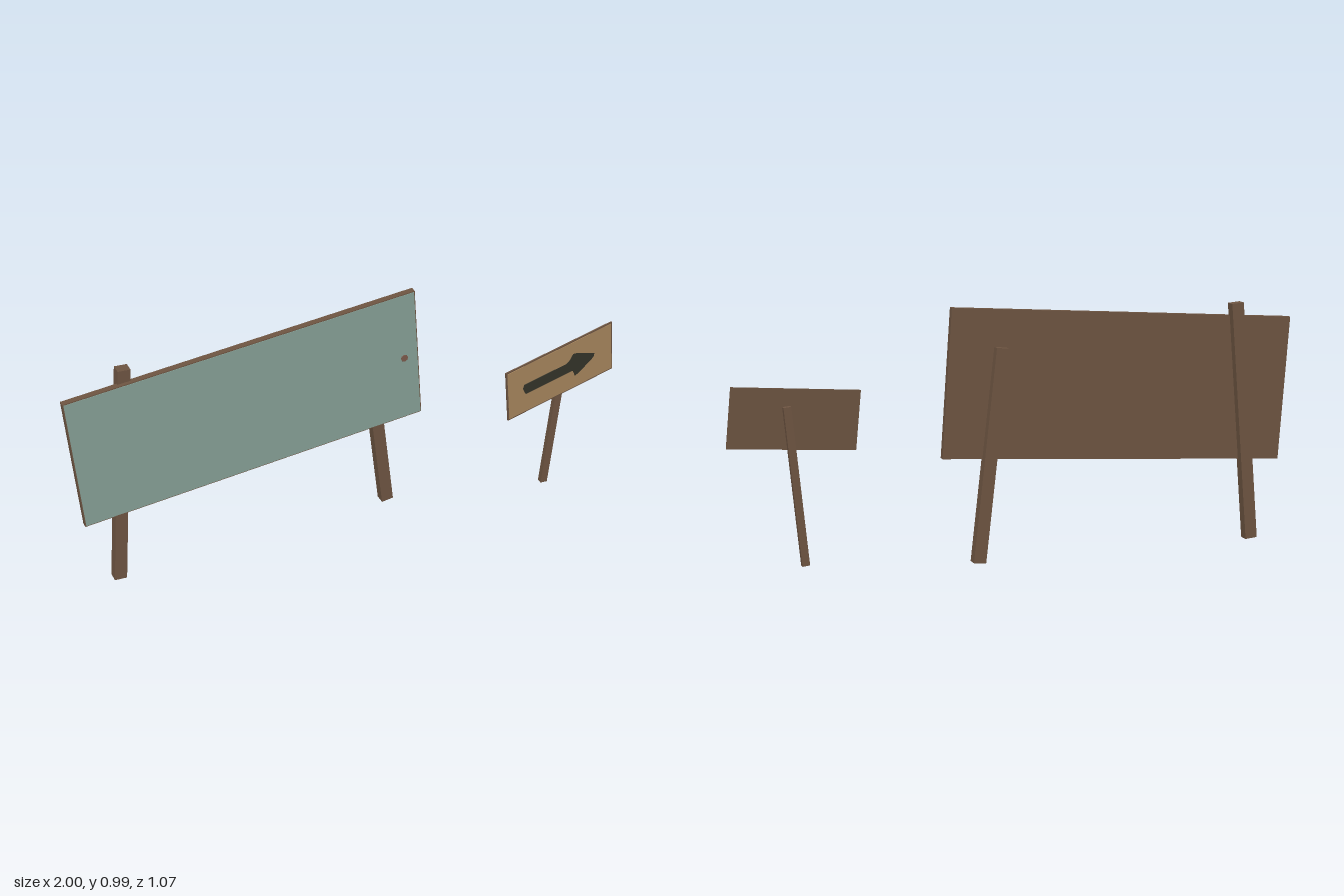
import * as THREE from 'three';

const mat = (name, color) => Object.assign(new THREE.MeshStandardMaterial({ color }), { name });

export function createModel() {
  const wood = mat('brown wood', 0x6e5542);
  const teal = mat('grey green paint', 0x87a197);
  const tan = mat('tan paint', 0xaa885f);
  const dark = mat('dark paint', 0x34342a);
  const rust = mat('knot brown', 0x7c5a4b);

  const model = new THREE.Group();
  model.name = 'signs';

  const add = (parent, name, geometry, material, x = 0, y = 0, z = 0) => {
    const mesh = new THREE.Mesh(geometry, material);
    mesh.name = name;
    mesh.position.set(x, y, z);
    parent.add(mesh);
    return mesh;
  };
  const group = (parent, name, x, y, z, yaw, roll = 0) => {
    const g = new THREE.Group();
    g.name = name;
    g.position.set(x, y, z);
    g.rotation.set(0, yaw, roll, 'YXZ');
    parent.add(g);
    return g;
  };
  const deg = THREE.MathUtils.degToRad;

  // Leaning post from its foot to its top, in the plane of its parent
  const post = (parent, name, footX, topX, height, z, width, depth) => {
    const lean = Math.atan2(topX - footX, height);
    const length = Math.hypot(topX - footX, height);
    const mesh = add(parent, name, new THREE.BoxGeometry(width, length, depth), wood,
      (footX + topX) / 2, height / 2 + 0.002, z);
    mesh.rotation.z = -lean;
  };

  // Board with a thin painted face that leaves a narrow wooden rim
  const board = (parent, name, w, h, t, rim, paint) => {
    add(parent, name, new THREE.BoxGeometry(w, h, t), wood);
    add(parent, name + 'Face', new THREE.BoxGeometry(w - rim * 2, h - rim * 2, 0.002), paint, 0, 0, t / 2 + 0.001);
  };

  // Large billboard on two posts
  const yaw = deg(32);
  const billboard = group(model, 'billboard', -0.375, 0, 0.139, yaw);
  const panel = group(billboard, 'billboardPanel', 0, 0.6525, 0, 0, deg(4.06));
  board(panel, 'billboardBoard', 1.422, 0.577, 0.024, 0.004, teal);
  const knot = add(panel, 'knot', new THREE.CylinderGeometry(0.015, 0.015, 0.004, 8), rust, 0.65, -0.004, 0.015);
  knot.rotation.x = Math.PI / 2;
  post(billboard, 'rightPost', -0.564, -0.483, 0.957, -0.022, 0.05, 0.04);
  post(billboard, 'leftPost', 0.5915, 0.496, 0.83, -0.022, 0.05, 0.04);

  // Small arrow sign
  const sign = group(model, 'arrowSign', 0.788, 0.567, -0.361, deg(39.9), deg(5.8));
  board(sign, 'arrowBoard', 0.527, 0.234, 0.006, 0.006, tan);

  // Hand-painted arrow
  const arrow = new THREE.Shape([
    [-0.187, 0.005], [-0.18, 0.022], [0.03, 0.022], [0.045, 0.03], [0.065, 0.055], [0.085, 0.05],
    [0.17, 0.008], [0.165, -0.008], [0.09, -0.05], [0.07, -0.055], [0.06, -0.025], [-0.175, -0.025],
  ].map(([x, y]) => new THREE.Vector2(x, y)));
  add(sign, 'arrow', new THREE.ExtrudeGeometry(arrow, { depth: 0.002, bevelEnabled: false }), dark, 0, 0, 0.005);

  // Single post behind the arrow sign
  const support = group(model, 'arrowSupport', 0.75, 0, -0.377, yaw);
  post(support, 'arrowPost', 0, 0.06, 0.62, 0, 0.03, 0.022);

  return model;
}
